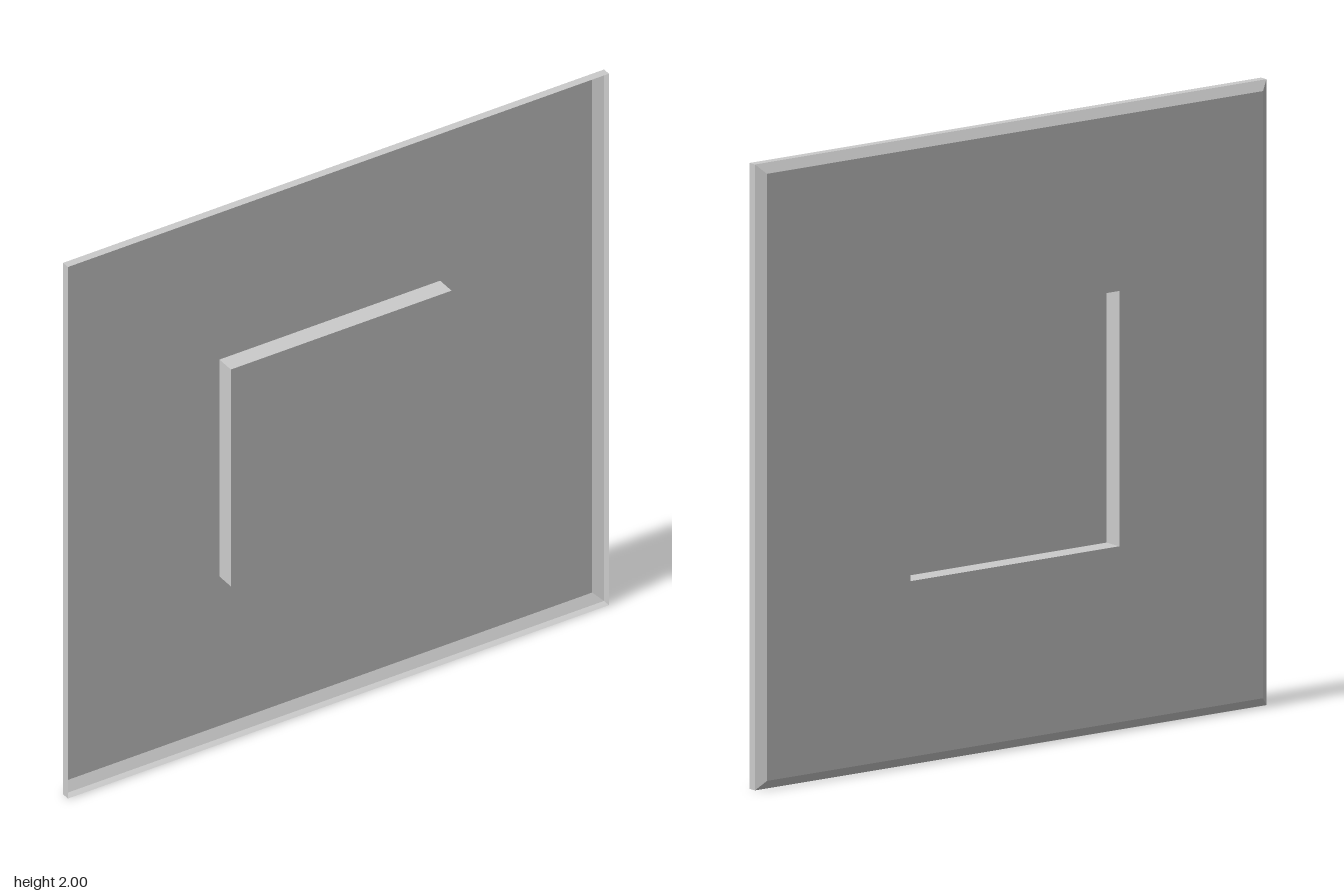
import * as THREE from 'three';

const material = new THREE.MeshStandardMaterial({
  color: 0xcccccc, flatShading: true, side: THREE.DoubleSide,
});

// Square band of four flat quads joining two loops, each [half size, z]
function squareBand(name, [h0, z0], [h1, z1]) {
  const corners = [[-1, -1], [1, -1], [1, 1], [-1, 1]];
  const positions = [];
  for (let i = 0; i < 4; i++) {
    const [px, py] = corners[i];
    const [qx, qy] = corners[(i + 1) % 4];
    const a = [px * h0, py * h0, z0], b = [qx * h0, qy * h0, z0];
    const c = [px * h1, py * h1, z1], d = [qx * h1, qy * h1, z1];
    positions.push(...a, ...b, ...d, ...a, ...d, ...c);
  }
  const geometry = new THREE.BufferGeometry();
  geometry.setAttribute('position', new THREE.Float32BufferAttribute(positions, 3));
  geometry.computeVertexNormals();
  const mesh = new THREE.Mesh(geometry, material);
  mesh.name = name;
  return mesh;
}

export function createModel() {
  const group = new THREE.Group();
  group.name = 'pressedPanel';

  // Thin sheet, from the open front rim inwards to the raised centre
  const rim = [1, 0.017], fold = [1, -0.011], plateEdge = [0.97, -0.033];
  const padBase = [0.408, -0.033], padTop = [0.408, 0.033];

  group.add(
    squareBand('rimWall', rim, fold),
    squareBand('bevel', fold, plateEdge),
    squareBand('plate', plateEdge, padBase),
    squareBand('padWalls', padBase, padTop),
  );

  // Front face of the raised centre, hollow behind
  const padFace = new THREE.Mesh(
    new THREE.PlaneGeometry(padTop[0] * 2, padTop[0] * 2), material);
  padFace.name = 'padFace';
  padFace.position.z = padTop[1];
  group.add(padFace);

  // Stand the panel on the ground
  group.children.forEach((part) => { part.position.y = 1; });
  return group;
}
